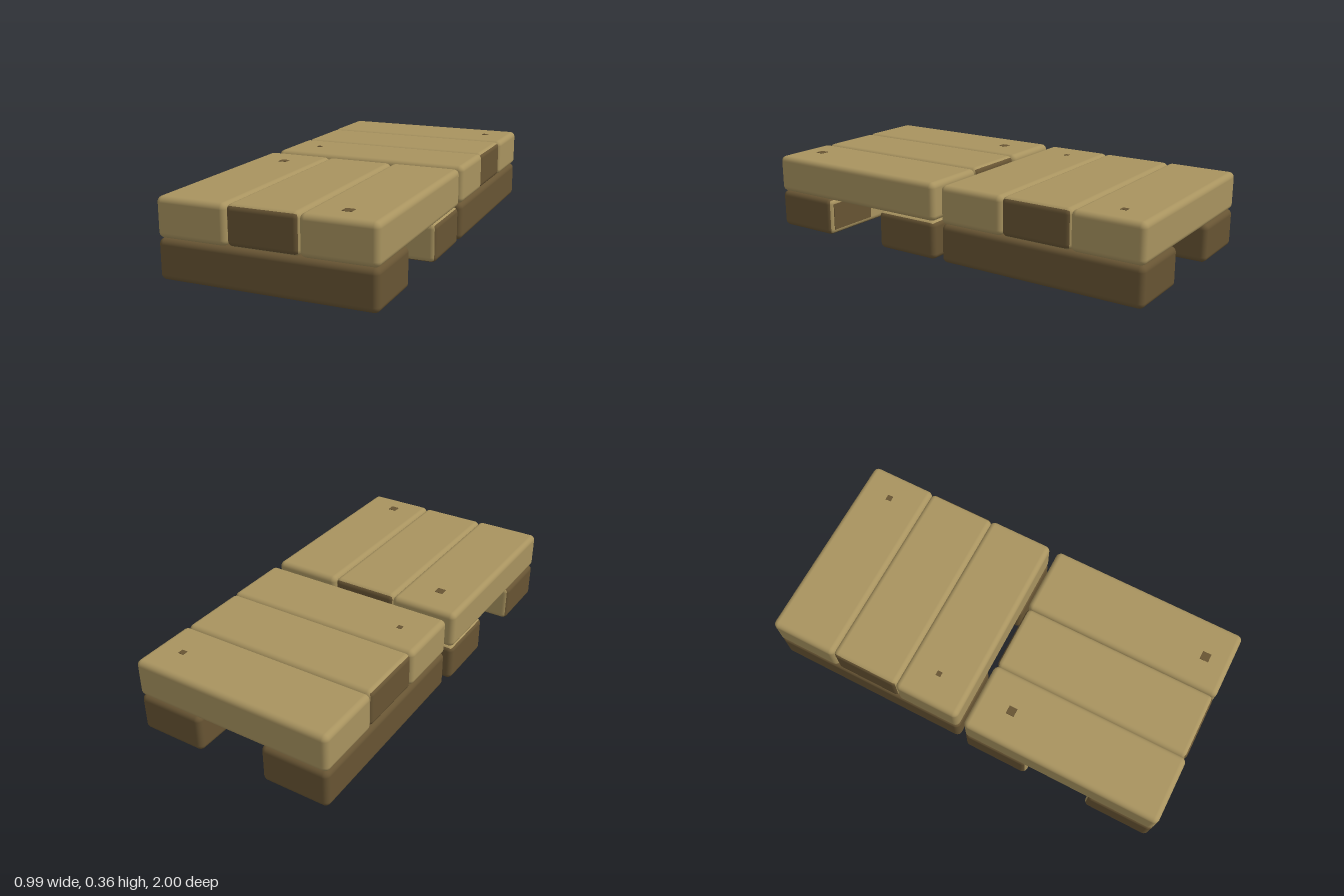
import * as THREE from 'three';
import { RoundedBoxGeometry } from 'three/addons/geometries/RoundedBoxGeometry.js';

const tan = new THREE.MeshStandardMaterial({ color: 0xa8935f });
tan.name = 'tan wood';
const brown = new THREE.MeshStandardMaterial({ color: 0x675433 });
brown.name = 'brown wood';

// Box face order: +x, -x, +y, -y, +z, -z
const paint = (base, other, faces) => [0, 1, 2, 3, 4, 5].map(i => (faces.includes(i) ? other : base));

// Rounded plank given by its extents on each axis
function plank(name, [x0, x1], [y0, y1], [z0, z1], material) {
  const geo = new RoundedBoxGeometry(x1 - x0, y1 - y0, z1 - z0, 4, 0.026);
  const mesh = new THREE.Mesh(geo, material);
  mesh.name = name;
  mesh.position.set((x0 + x1) / 2, (y0 + y1) / 2, (z0 + z1) / 2);
  return mesh;
}

// Thin painted patch
function patch(name, size, pos) {
  const mesh = new THREE.Mesh(new THREE.BoxGeometry(...size), brown);
  mesh.name = name;
  mesh.position.set(...pos);
  return mesh;
}

export function createModel() {
  const model = new THREE.Group();
  model.name = 'plankPlatforms';
  const low = [0, 0.181];
  const high = [0.181, 0.36];

  // Front platform: boards run front to back over two cross beams
  const front = new THREE.Group();
  front.name = 'frontPlatform';
  front.add(
    plank('frontBoardRight', [-0.495, -0.166], high, [0.03, 1], tan),
    plank('frontBoardMiddle', [-0.17, 0.157], high, [0.034, 0.994], paint(tan, brown, [4, 5])),
    plank('frontBoardLeft', [0.157, 0.492], high, [0.03, 1], tan),
    plank('frontBeam', [-0.495, 0.49], low, [0.67, 1], paint(brown, tan, [5])),
    plank('frontInnerBeam', [-0.495, 0.49], low, [0.03, 0.357], paint(brown, tan, [2, 4])),
    patch('beamStain', [0.26, 0.13, 0.006], [0.335, 0.09, 0.67]),
  );

  // Back platform: boards run side to side over two lengthwise beams
  const back = new THREE.Group();
  back.name = 'backPlatform';
  back.add(
    plank('backBoardNear', [-0.48, 0.492], high, [-0.335, -0.01], tan),
    plank('backBoardMiddle', [-0.476, 0.488], high, [-0.67, -0.331], paint(tan, brown, [0, 1])),
    plank('backBoardFar', [-0.48, 0.492], high, [-1, -0.668], tan),
    plank('backBeamRight', [-0.48, -0.155], low, [-1, -0.01], brown),
    plank('backBeamLeft', [0.165, 0.49], low, [-1, -0.01], brown),
  );

  // Small dark knots on the boards
  const knots = new THREE.Group();
  knots.name = 'knots';
  for (const [x, z, s] of [[0.36, -0.845, 0.028], [-0.33, -0.18, 0.024], [-0.335, 0.2, 0.04], [0.315, 0.88, 0.042]]) {
    knots.add(patch('knot', [s, 0.003, s], [x, 0.36, z]));
  }

  model.add(front, back, knots);
  return model;
}
